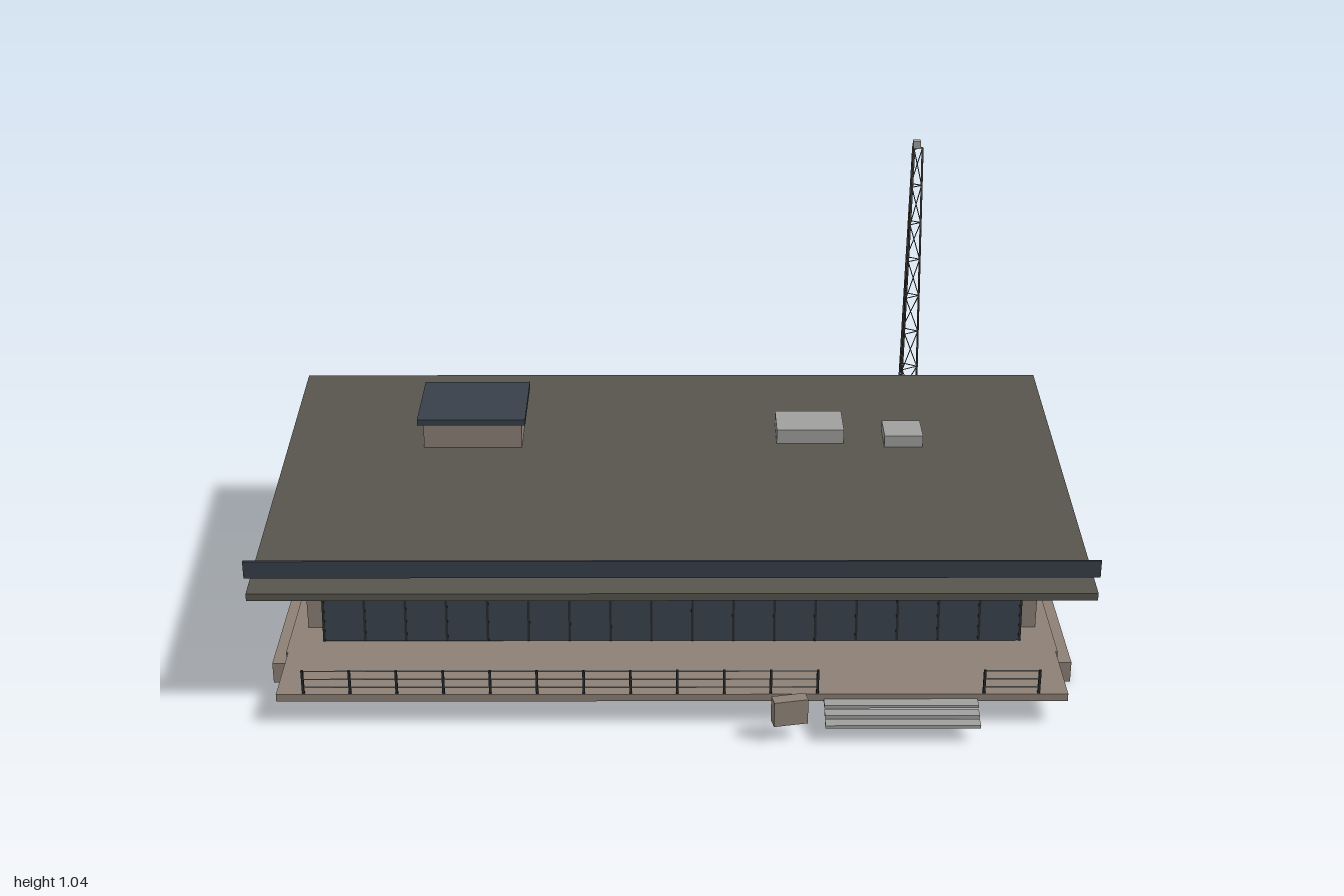
import * as THREE from 'three';

const mat = (name, color) => {
  const m = new THREE.MeshStandardMaterial({ color });
  m.name = name;
  return m;
};

export function createModel() {
  const root = new THREE.Group();
  root.name = 'pavilion';
  const stone = mat('stone', 0x8c8076);
  const roofing = mat('roofing', 0x58544d);
  const slate = mat('slate blue', 0x38404a);
  const frame = mat('dark frame', 0x26292d);
  const steel = mat('mast steel', 0x4a4744);
  const grey = mat('light grey', 0xa0a09e);

  // Box given by its minimum and maximum on each axis
  const box = (name, m, x0, x1, y0, y1, z0, z1, parent = root) => {
    const mesh = new THREE.Mesh(new THREE.BoxGeometry(x1 - x0, y1 - y0, z1 - z0), m);
    mesh.position.set((x0 + x1) / 2, (y0 + y1) / 2, (z0 + z1) / 2);
    mesh.name = name;
    parent.add(mesh);
    return mesh;
  };
  const group = (name) => {
    const g = new THREE.Group();
    g.name = name;
    root.add(g);
    return g;
  };
  // Thin round bar between two points
  const bar = (name, m, a, b, r, parent) => {
    const d = b.clone().sub(a);
    const mesh = new THREE.Mesh(new THREE.CylinderGeometry(r, r, d.length(), 5), m);
    mesh.position.copy(a).add(b).multiplyScalar(0.5);
    mesh.quaternion.setFromUnitVectors(new THREE.Vector3(0, 1, 0), d.normalize());
    mesh.name = name;
    parent.add(mesh);
  };

  // Stepped base, terrace and building body
  box('plinth', stone, -0.98, 0.98, 0, 0.055, -0.515, 0.43);
  box('upperPlinth', stone, -0.945, 0.945, 0.055, 0.083, -0.475, 0.425);
  box('terrace', stone, -0.94, 0.94, 0.064, 0.083, 0.41, 0.62);
  box('body', stone, -0.907, 0.907, 0.083, 0.31, -0.43, 0.305);
  box('wallBand', stone, -0.91, 0.91, 0.235, 0.27, -0.434, 0.3);

  // Leaning window wall
  const glazing = group('glazing');
  const tilt = -Math.atan2(0.027, 0.24);
  glazing.position.set(0, 0.086, 0.373);
  glazing.rotation.x = tilt;
  box('glass', slate, -0.86, 0.86, 0, 0.243, -0.003, 0.003, glazing);
  const panes = 17;
  for (let i = 0; i <= panes; i++) {
    const x = -0.857 + (1.714 * i) / panes;
    box('mullion', frame, x - 0.003, x + 0.003, 0, 0.243, -0.005, 0.005, glazing);
  }
  box('sill', frame, -0.86, 0.86, 0.083, 0.09, 0.33, 0.362);

  // Single-pitch roof: sheared slab rising to the back
  const roofGeo = new THREE.BoxGeometry(2, 0.019, 1.09);
  const p = roofGeo.attributes.position;
  for (let i = 0; i < p.count; i++) p.setY(i, p.getY(i) - p.getZ(i) * 0.071);
  roofGeo.computeVertexNormals();
  const roof = new THREE.Mesh(roofGeo, roofing);
  roof.position.set(0, 0.36, 0.03);
  roof.name = 'roof';
  root.add(roof);
  box('fascia', slate, -1, 1, 0.376, 0.42, 0.575, 0.581);

  // Chimney and rooftop units
  box('chimney', stone, -0.645, -0.39, 0.31, 0.446, -0.335, -0.115);
  box('chimneyCap', slate, -0.66, -0.38, 0.446, 0.462, -0.35, -0.108);
  box('largeRoofUnit', grey, 0.275, 0.45, 0.365, 0.421, -0.25, -0.133);
  box('smallRoofUnit', grey, 0.555, 0.655, 0.365, 0.412, -0.208, -0.115);

  // Entrance steps
  const steps = group('steps');
  for (let i = 0; i < 3; i++) {
    const z = 0.62 + i * 0.027, y = 0.063 - i * 0.011;
    box('step', grey, 0.36, 0.725, y - 0.001, y + 0.007, z, z + 0.029, steps);
  }

  // Angled stone block beside the steps
  const block = box('entranceBlock', stone, 0.235, 0.317, 0.045, 0.11, 0.665, 0.696);
  block.rotation.y = 0.2;

  // Terrace railing, open at the steps
  const railing = group('railing');
  for (const [x0, x1, n] of [[-0.875, 0.345, 11], [0.74, 0.87, 1]]) {
    for (let i = 0; i <= n; i++) {
      const x = x0 + ((x1 - x0) * i) / n;
      box('railPost', frame, x - 0.003, x + 0.003, 0.083, 0.146, 0.612, 0.618, railing);
    }
    for (const y of [0.1, 0.122, 0.144])
      box('rail', grey, x0, x1, y - 0.0012, y + 0.0012, 0.6138, 0.6162, railing);
  }

  // Triangular lattice mast
  const mast = group('mast');
  box('mastBase', grey, 0.6, 0.73, 0.041, 0.055, -0.71, -0.583, mast);
  const bays = 9;
  const node = (leg, level) => {
    const t = level / bays, a = (leg * Math.PI * 2) / 3, r = 0.036 - 0.02 * t;
    return new THREE.Vector3(0.663 + r * Math.cos(a), 0.055 + 0.967 * t, -0.645 + r * Math.sin(a));
  };
  for (let leg = 0; leg < 3; leg++) {
    bar('mastLeg', steel, node(leg, 0), node(leg, bays), 0.003, mast);
    for (let i = 0; i < bays; i++) {
      const flip = i % 2;
      bar('mastBrace', steel, node(leg + flip, i), node(leg + 1 - flip, i + 1), 0.0014, mast);
      bar('mastTie', steel, node(leg, i + 1), node(leg + 1, i + 1), 0.0014, mast);
    }
  }
  box('mastCap', grey, 0.653, 0.673, 1.022, 1.042, -0.655, -0.635, mast);

  return root;
}
